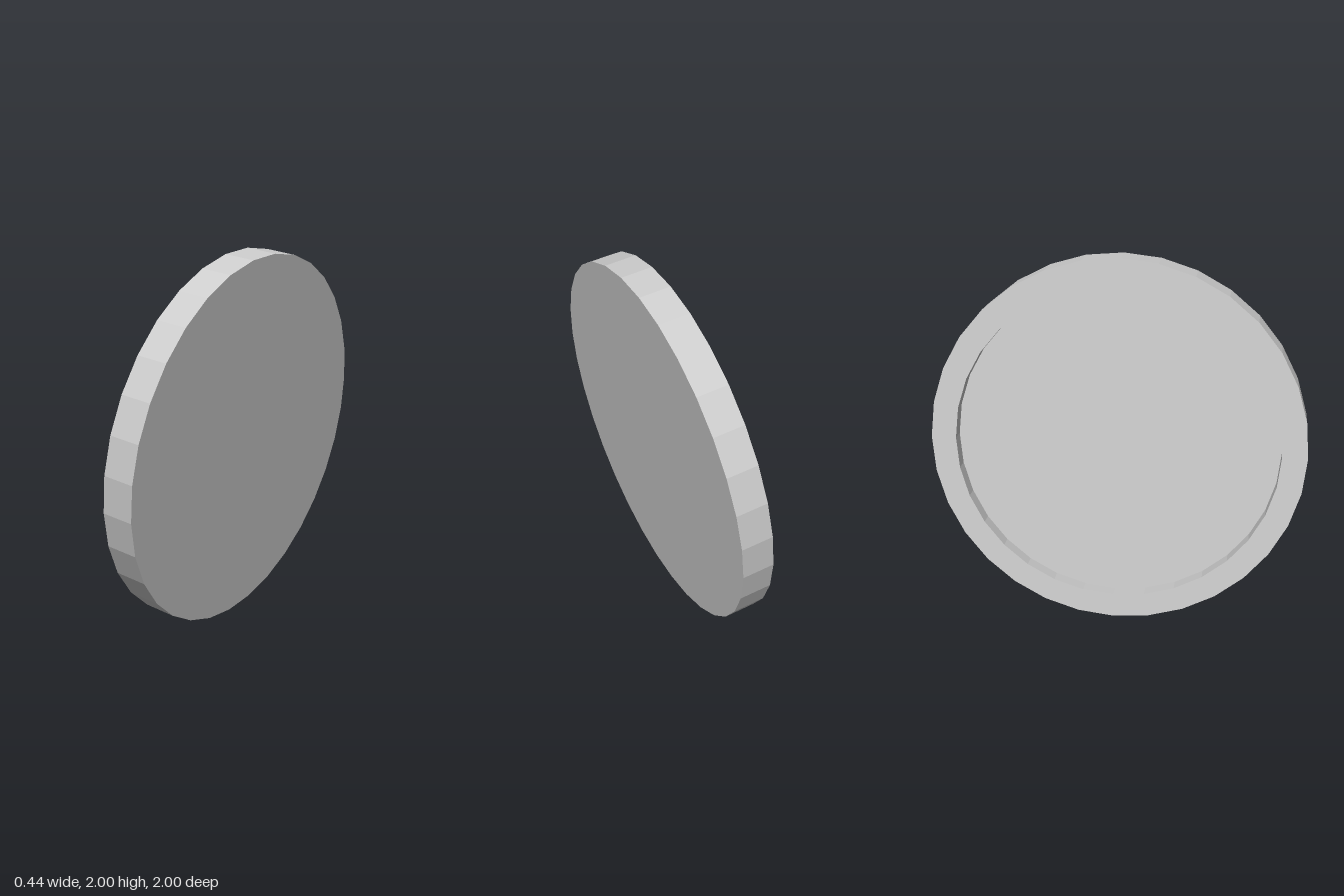
import * as THREE from 'three';

export function createModel() {
  const radius = 0.998, innerRadius = 0.865, half = 0.083, floor = 0.007;
  const tilt = THREE.MathUtils.degToRad(8.07);

  // Closed profile: flat base, outer wall, rim, inner wall, recessed floor
  const profile = [
    [0, -half], [radius, -half], [radius, half],
    [innerRadius, half], [innerRadius, floor], [0, floor],
  ].map(([r, y]) => new THREE.Vector2(r, y));

  const disc = new THREE.Mesh(
    new THREE.LatheGeometry(profile, 32),
    new THREE.MeshStandardMaterial({ color: 0xcccccc, flatShading: true })
  );
  disc.name = 'recessedDisc';

  // Stand on edge, open side towards -x, leaning slightly towards +x
  disc.rotation.z = Math.PI / 2 - tilt;
  disc.position.y = 1;

  const group = new THREE.Group();
  group.name = 'tiltedDisc';
  group.add(disc);
  return group;
}
